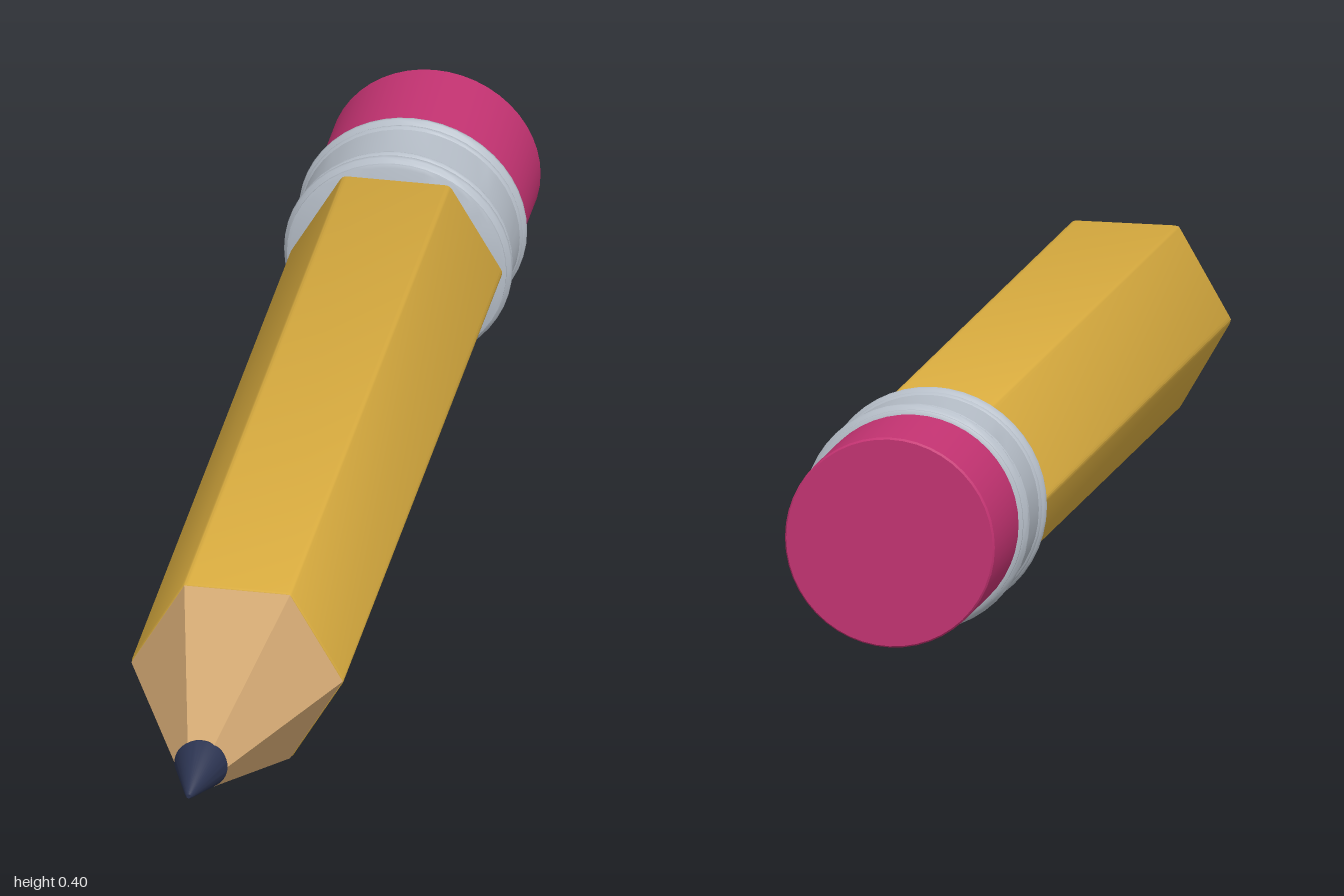
import * as THREE from 'three';
import { toCreasedNormals } from 'three/addons/utils/BufferGeometryUtils.js';

const material = (name, color) => new THREE.MeshStandardMaterial({ name, color });

// Smooth turned part along z; profile is [radius, distance from tip]
function turned(profile, crease = 0.6) {
  const points = profile.map(([r, d]) => new THREE.Vector2(r, d));
  const geometry = new THREE.LatheGeometry(points, 48).rotateX(Math.PI / 2);
  return toCreasedNormals(geometry, crease);
}

// Hexagon with slightly rounded corners, flat side up
function roundedHexagon(radius, t) {
  const shape = new THREE.Shape();
  const corners = Array.from({ length: 6 }, (_, i) =>
    new THREE.Vector2(Math.cos(i * Math.PI / 3), Math.sin(i * Math.PI / 3)).multiplyScalar(radius));
  corners.forEach((c, i) => {
    const a = c.clone().lerp(corners[(i + 5) % 6], t);
    const b = c.clone().lerp(corners[(i + 1) % 6], t);
    if (i === 0) shape.moveTo(a.x, a.y);
    else shape.lineTo(a.x, a.y);
    shape.quadraticCurveTo(c.x, c.y, b.x, b.y);
  });
  shape.closePath();
  return shape;
}

// Raised rounded ring in a profile
function ring(base, height, from, to) {
  return Array.from({ length: 7 }, (_, i) => [
    base + height * Math.sin(i * Math.PI / 6), from + (to - from) * i / 6]);
}

export function createModel() {
  const yellow = material('yellow paint', 0xd9ac3f);
  const wood = material('bare wood', 0xd1a772);
  const graphite = material('graphite', 0x2b3350);
  const metal = material('metal', 0xb5bdc7);
  const rubber = material('pink rubber', 0xc43372);

  const pencil = new THREE.Group();
  pencil.name = 'pencil';
  const add = (name, geometry, mat) => {
    const mesh = new THREE.Mesh(geometry, mat);
    mesh.name = name;
    pencil.add(mesh);
  };

  // Round lead point with a slightly blunt tip
  add('leadPoint', turned([[0, 0], [0.004, 0.001], [0.007, 0.006], [0.047, 0.118], [0.045, 0.124], [0, 0.124]]), graphite);

  // Six-sided sharpened wood
  const cone = new THREE.CylinderGeometry(0.187, 0.047, 0.34, 6, 1)
    .rotateY(Math.PI / 6).rotateX(Math.PI / 2).translate(0, 0, 0.287).toNonIndexed();
  cone.computeVertexNormals();
  add('sharpenedWood', cone, wood);

  // Six-sided painted body with bevelled ends
  const bevel = 0.006;
  const body = new THREE.ExtrudeGeometry(roundedHexagon(0.1895, 0.045), {
    depth: 1.51, curveSegments: 4, bevelEnabled: true,
    bevelThickness: bevel, bevelSize: bevel, bevelOffset: -bevel, bevelSegments: 2,
  }).translate(0, 0, 0.457 + bevel);
  add('body', toCreasedNormals(body, 0.5), yellow);

  // Metal band with a pair of raised rings at each end
  add('ferrule', turned([
    [0, 1.953], [0.188, 1.953], [0.194, 1.956],
    ...ring(0.194, 0.008, 1.96, 1.985),
    ...ring(0.194, 0.004, 1.989, 2.001),
    ...ring(0.194, 0.004, 2.084, 2.096),
    ...ring(0.194, 0.008, 2.1, 2.122),
    [0.194, 2.126], [0.188, 2.13], [0, 2.13],
  ]), metal);

  // Eraser
  add('eraser', turned([[0, 2.11], [0.187, 2.11], [0.187, 2.317], [0.184, 2.321], [0, 2.321]]), rubber);

  // Lay the pencil diagonally, tip towards the front
  pencil.rotation.y = 2.522;
  pencil.position.set(-0.748, 0.202, 0.998);
  const model = new THREE.Group();
  model.name = 'model';
  model.add(pencil);
  return model;
}
